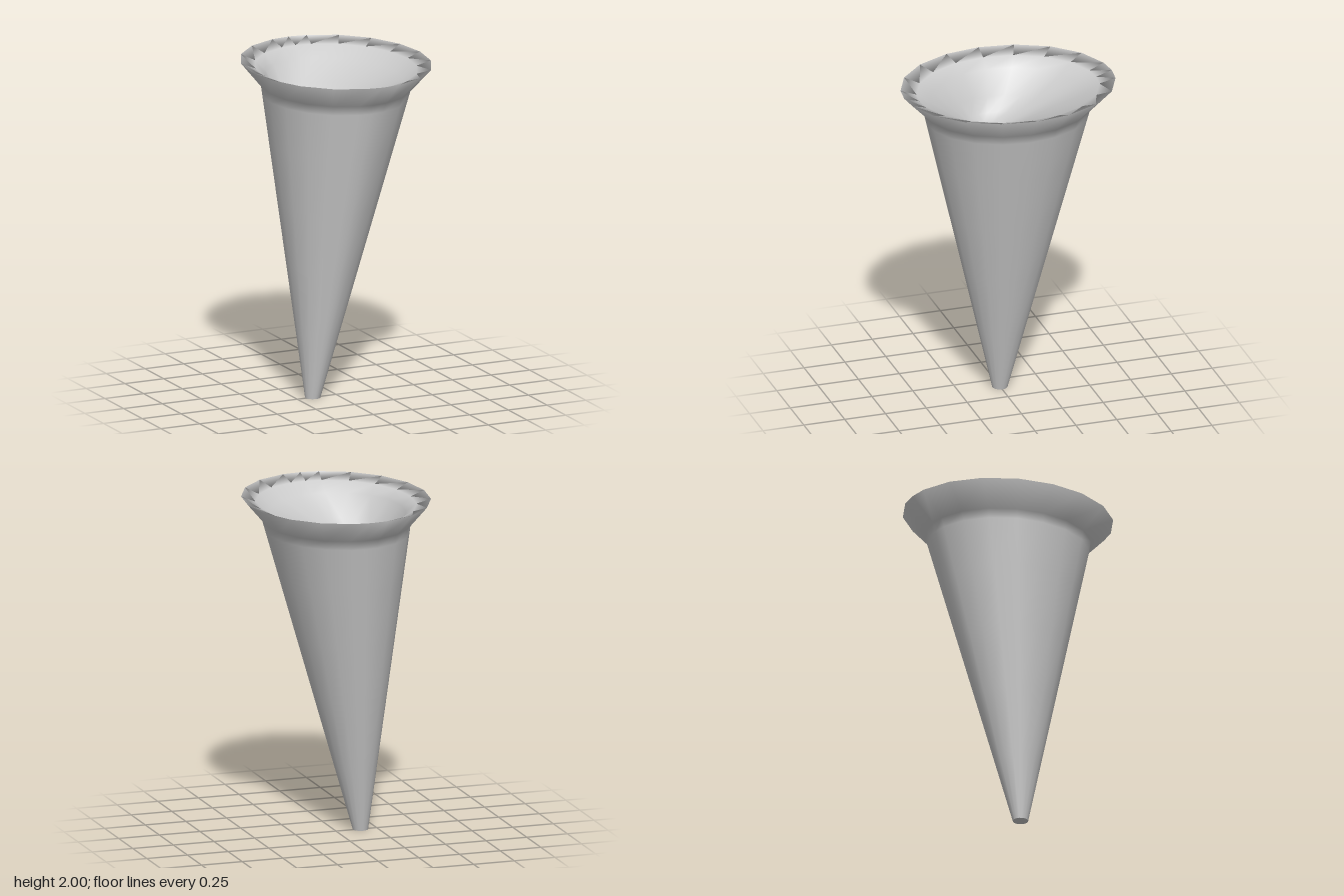
import * as THREE from 'three';

// angles of one quarter, mirrored to make the 20-sided outline
const quarter = [0, 11.8, 31.2, 51, 71];
const angles = [];
for (const a of quarter) angles.push(a);
for (const a of [90, ...quarter.slice(1).reverse().map(a => 180 - a)]) angles.push(a);
for (const a of [...angles]) angles.push(a + 180);

// skin over elliptical rings: { x, z, rx, rz, y, tilt }
function loft(rings) {
  const n = angles.length, pos = [], idx = [];
  rings.forEach((r, j) => {
    angles.forEach((deg, i) => {
      const t = deg * Math.PI / 180, dx = Math.sin(t) * r.rx;
      pos.push(r.x + dx, r.y + dx * (r.tilt || 0), r.z + Math.cos(t) * r.rz);
      if (j === rings.length - 1) return;
      const k = (i + 1) % n, a = j * n + i, b = j * n + k;
      idx.push(a, b, b + n, a, b + n, a + n);
    });
  });
  const g = new THREE.BufferGeometry();
  g.setAttribute('position', new THREE.Float32BufferAttribute(pos, 3));
  g.setIndex(idx);
  g.computeVertexNormals();
  return g;
}

export function createModel() {
  const group = new THREE.Group();
  group.name = 'leaningFunnel';
  const mat = new THREE.MeshStandardMaterial({ color: 0xcccccc, side: THREE.DoubleSide });
  const add = (name, geo) => {
    const m = new THREE.Mesh(geo, mat);
    m.name = name;
    group.add(m);
    return m;
  };

  // leaning cone, straight from the small foot up to the neck
  const rings = [];
  for (const t of [0, 0.21, 0.43, 0.63, 0.82, 0.97, 1]) {
    rings.push({
      x: -0.15 + 0.147 * t, z: 0, y: 1.86 * t,
      rx: 0.045 + 0.38 * t, rz: 0.045 + 0.455 * t,
    });
  }
  // flared rim, then the lopsided shallow bowl inside
  rings.push(
    { x: 0, z: 0, rx: 0.542, rz: 0.635, y: 2 },
    { x: 0, z: 0, rx: 0.46, rz: 0.54, y: 1.97 },
    { x: -0.01, z: 0, rx: 0.39, rz: 0.46, y: 1.91, tilt: -0.03 },
    { x: -0.08, z: 0.01, rx: 0.26, rz: 0.3, y: 1.8, tilt: 0.1 },
    { x: -0.12, z: 0.03, rx: 0.17, rz: 0.18, y: 1.72, tilt: 0.15 },
    { x: -0.15, z: 0.05, rx: 0.08, rz: 0.09, y: 1.67, tilt: 0.12 },
    { x: -0.16, z: 0.06, rx: 0.001, rz: 0.001, y: 1.66 },
  );
  add('coneAndBowl', loft(rings));

  // flat underside of the foot
  const cap = add('footCap', new THREE.CircleGeometry(0.045, 20));
  cap.rotation.x = Math.PI / 2;
  cap.position.x = -0.15;
  return group;
}
